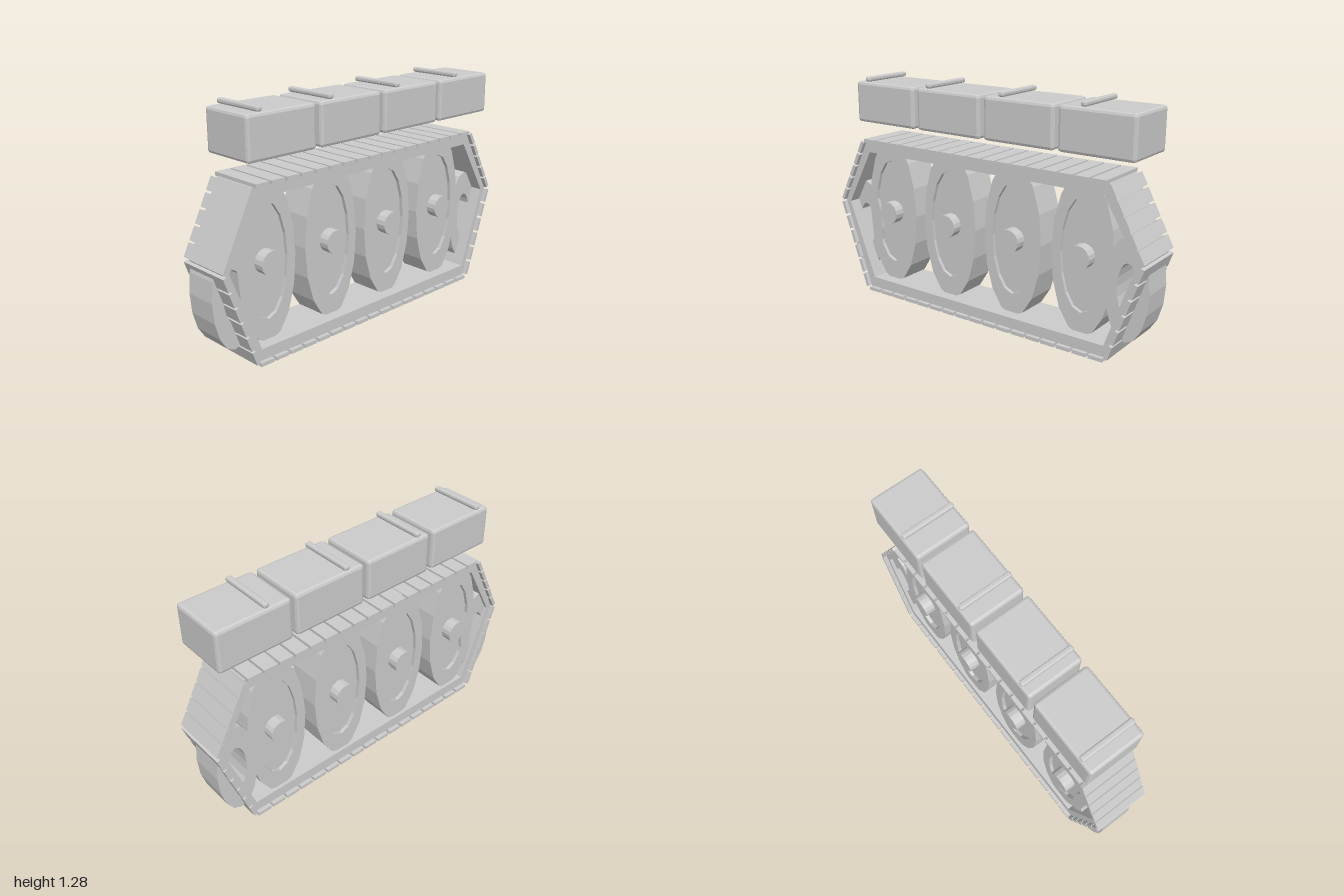
import * as THREE from 'three';
import { RoundedBoxGeometry } from 'three/addons/geometries/RoundedBoxGeometry.js';

const material = new THREE.MeshStandardMaterial({ color: 0xcccccc, flatShading: true });

// Belt outlines as [z, y], counter-clockwise
const OUTER = [[-0.8, 0.018], [0.8, 0.018], [0.98, 0.53], [0.795, 0.908], [-0.785, 0.908], [-0.98, 0.54]];
const INNER = [[-0.785, 0.08], [0.77, 0.08], [0.945, 0.525], [0.77, 0.847], [-0.76, 0.847], [-0.945, 0.535]];
const PADS = [17, 6, 5, 17, 5, 6];

function addMesh(parent, name, geometry) {
  const mesh = new THREE.Mesh(geometry, material);
  mesh.name = name;
  parent.add(mesh);
  return mesh;
}

// Extrude a (z, y) shape sideways from x0 to x1
function extrudeAcross(shape, x0, x1) {
  return new THREE.ExtrudeGeometry(shape, { depth: x1 - x0, bevelEnabled: false, curveSegments: 16 })
    .rotateY(-Math.PI / 2).translate(x1, 0, 0);
}

const toPoints = (list) => list.map(([z, y]) => new THREE.Vector2(z, y));

// Oval wheel with a recessed disc on both faces and a round axle
function makeWheel() {
  const wheel = new THREE.Group();
  wheel.name = 'roadWheel';
  const x0 = -0.12, x1 = 0.065, d = 0.02;
  const profile = toPoints([
    [0, x0 + d], [0.71, x0 + d], [0.71, x0], [1, x0],
    [1, x1], [0.71, x1], [0.71, x1 - d], [0, x1 - d],
  ]);
  const body = new THREE.LatheGeometry(profile, 16).rotateZ(-Math.PI / 2).scale(1, 0.432, 0.181);
  addMesh(wheel, 'wheelBody', body);
  const axle = addMesh(wheel, 'axle', new THREE.CylinderGeometry(0.064, 0.064, 0.265, 16).rotateZ(Math.PI / 2));
  axle.position.x = -0.0275;
  return wheel;
}

// Oval ring sitting at each end of the belt
function makeEndRing(z) {
  const ring = new THREE.Shape().absellipse(z, 0.37, 0.12, 0.277, 0, Math.PI * 2);
  ring.holes.push(new THREE.Path().absellipse(z, 0.375, 0.056, 0.135, 0, Math.PI * 2, true));
  // One segment set per curve keeps the ring at sixteen sides
  return new THREE.ExtrudeGeometry(ring, { depth: 0.185, bevelEnabled: false, curveSegments: 8 })
    .rotateY(-Math.PI / 2).translate(0.065, 0, 0);
}

export function createModel() {
  const model = new THREE.Group();
  model.name = 'trackUnit';

  // Continuous belt
  const belt = new THREE.Shape(toPoints(OUTER));
  belt.holes.push(new THREE.Path(toPoints(INNER).reverse()));
  addMesh(model, 'belt', extrudeAcross(belt, -0.138, 0.133));

  // Tread pads spaced along each straight run
  const treads = new THREE.Group();
  treads.name = 'treadPads';
  model.add(treads);
  OUTER.forEach(([z0, y0], i) => {
    const [z1, y1] = OUTER[(i + 1) % OUTER.length];
    const dz = z1 - z0, dy = y1 - y0;
    const length = Math.hypot(dz, dy), n = PADS[i];
    const pad = new THREE.BoxGeometry(0.316, 0.02, (length / n) * 0.86);
    for (let k = 0; k < n; k++) {
      const t = (k + 0.5) / n;
      const mesh = addMesh(treads, 'treadPad', pad);
      mesh.position.set(-0.0025, y0 + dy * t - (dz / length) * 0.008, z0 + dz * t + (dy / length) * 0.008);
      mesh.rotation.x = -Math.atan2(dy, dz);
    }
  });

  // Four road wheels
  for (const z of [0.667, 0.24, -0.185, -0.61]) {
    const wheel = makeWheel();
    wheel.position.set(0, 0.492, z);
    model.add(wheel);
  }

  // End rings
  addMesh(model, 'frontRing', makeEndRing(0.88));
  addMesh(model, 'backRing', makeEndRing(-0.865));

  // Row of chamfered boxes above, each with a crosswise bar
  const boxes = [[0.619, 0.748], [0.173, 0.308], [-0.272, -0.166], [-0.714, -0.64]];
  for (const [z, barZ] of boxes) {
    const box = addMesh(model, 'upperBox', new RoundedBoxGeometry(0.316, 0.228, 0.418, 1, 0.016));
    box.position.set(-0.0025, 1.138, z);
    const bar = addMesh(model, 'topBar', new RoundedBoxGeometry(0.306, 0.027, 0.032, 1, 0.009));
    bar.position.set(-0.0025, 1.268, barZ);
  }

  return model;
}
